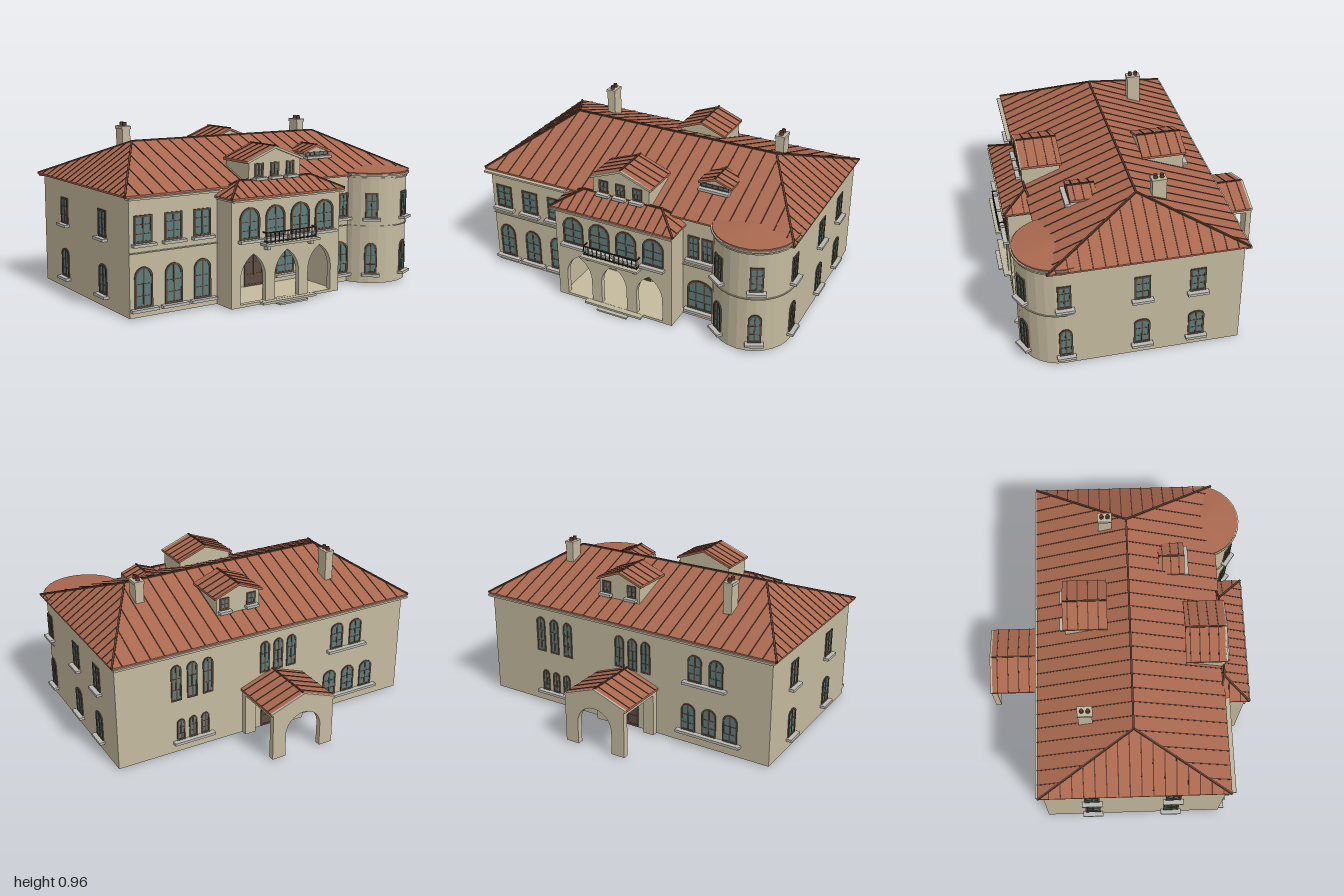
import * as THREE from 'three';

const mat = (name, color) => {
  const m = new THREE.MeshStandardMaterial({ color });
  m.name = name;
  return m;
};
const wall = mat('stucco', 0xc4ba9e), roofM = mat('roof tile', 0xa9684f), seamM = mat('roof seam', 0x5a3a2d);
const frameM = mat('window frame', 0x5a493b), glass = mat('glass', 0x5e7c7b), sillM = mat('sill stone', 0xb8b7b1);
const trim = mat('trim', 0xbdb7a0), doorM = mat('door wood', 0x5e4e42), iron = mat('iron', 0x2e2a26);

const V = (x, y, z) => new THREE.Vector3(x, y, z);

function add(parent, name, geo, m) {
  const mesh = new THREE.Mesh(geo, m);
  mesh.name = name;
  parent.add(mesh);
  return mesh;
}
function group(parent, name) {
  const g = new THREE.Group();
  g.name = name;
  parent.add(g);
  return g;
}
function box(parent, name, m, x0, x1, y0, y1, z0, z1) {
  add(parent, name, new THREE.BoxGeometry(x1 - x0, y1 - y0, z1 - z0), m)
    .position.set((x0 + x1) / 2, (y0 + y1) / 2, (z0 + z1) / 2);
}
// Square bar between two points
function bar(parent, name, m, a, b, w = 0.006) {
  const mesh = add(parent, name, new THREE.BoxGeometry(w, w, a.distanceTo(b)), m);
  const up = V(0, 1, 0), look = new THREE.Matrix4().lookAt(b, a, up);
  mesh.position.copy(a).lerp(b, 0.5);
  mesh.quaternion.setFromRotationMatrix(look);
}
function extrude(parent, name, m, shape, z0, z1) {
  const geo = new THREE.ExtrudeGeometry(shape, { depth: z1 - z0, bevelEnabled: false, curveSegments: 10 });
  add(parent, name, geo.translate(0, 0, z0), m);
}
// Walls raised from a plan given as [x, z] points, clockwise from above
function planWalls(parent, name, points, y0, y1) {
  const s = new THREE.Shape(points.map(([x, z]) => new THREE.Vector2(x, -z)));
  const geo = new THREE.ExtrudeGeometry(s, { depth: y1 - y0, bevelEnabled: false });
  add(parent, name, geo.rotateX(-Math.PI / 2).translate(0, y0, 0), wall);
}
// Opening outline: straight sides with an elliptical top of the given rise
function outline(Type, x, y, w, h, rise) {
  const s = new Type(), r = w / 2;
  s.moveTo(x - r, y).lineTo(x + r, y).lineTo(x + r, y + h - rise);
  if (rise > 0) s.absellipse(x, y + h - rise, r, rise, 0, Math.PI, false, 0);
  else s.lineTo(x - r, y + h);
  s.closePath();
  return s;
}
function pointedArch(x, y, w, spring, apex) {
  const p = new THREE.Path(), r = w / 2, my = spring + (apex - spring) * 0.65;
  p.moveTo(x - r, y).lineTo(x + r, y).lineTo(x + r, spring);
  p.quadraticCurveTo(x + r * 0.9, my, x, apex);
  p.quadraticCurveTo(x - r * 0.9, my, x - r, spring);
  p.closePath();
  return p;
}
// Window or door with its base at the given point, turned about y
function opening(parent, name, x, y, z, rot, w, h,
  { rise = 0, sill = true, door = false, uprights = 1, bars = 2, sillW = w + 0.03, t = 0.011 } = {}) {
  const g = group(parent, name);
  g.position.set(x, y, z);
  g.rotation.y = rot;
  const f = outline(THREE.Shape, 0, 0, w, h, rise);
  f.holes.push(outline(THREE.Path, 0, t, w - 2 * t, h - 2 * t, Math.max(0, rise - t / 2)));
  extrude(g, 'frame', frameM, f, -0.003, 0.006);
  extrude(g, door ? 'doorLeaf' : 'pane', door ? doorM : glass, outline(THREE.Shape, 0, t / 2, w - t, h - t, rise), -0.003, 0.002);
  for (let i = 1; i <= uprights; i++) {
    const bx = w * (i / (uprights + 1) - 0.5), drop = rise * (1 - Math.sqrt(1 - (2 * bx / w) ** 2));
    box(g, 'mullion', frameM, bx - 0.004, bx + 0.004, t / 2, h - t / 2 - drop, 0, 0.005);
  }
  for (let i = 1; i <= bars; i++) {
    const by = (h - rise * 0.5) * i / (bars + 1);
    box(g, 'glazingBar', frameM, -w / 2 + t, w / 2 - t, by - 0.002, by + 0.002, 0, 0.004);
  }
  if (sill) box(g, 'sill', sillM, -sillW / 2, sillW / 2, -0.016, 0, -0.004, 0.032);
}
// Hipped roof with standing seams
function hipRoof(parent, name, x0, x1, z0, z1, y0, r0, r1, rz, y1, stepX, stepZ) {
  const g = group(parent, name);
  const A = V(x0, y0, z1), B = V(x1, y0, z1), C = V(x1, y0, z0), D = V(x0, y0, z0), R = V(r1, y1, rz), L = V(r0, y1, rz);
  const geo = new THREE.BufferGeometry().setFromPoints([A, B, R, A, R, L, C, D, L, C, L, R, D, A, L, B, C, R]);
  geo.computeVertexNormals();
  add(g, 'slopes', geo, roofM);
  box(g, 'eaves', roofM, x0, x1, y0 - 0.01, y0, z0, z1);
  for (const [p, q] of [[A, L], [D, L], [B, R], [C, R], [L, R]]) bar(g, 'ridgeCap', seamM, p, q, 0.011);
  for (let x = x0 + stepX; x < x1 - 0.02; x += stepX) {
    const t = Math.min(1, (x - x0) / (r0 - x0), (x1 - x) / (x1 - r1));
    for (const z of [z0, z1])
      bar(g, 'seam', seamM, V(x, y0, z), V(x, y0 + t * (y1 - y0), z + t * (rz - z)));
  }
  for (let z = z0 + stepZ; z < z1 - 0.02; z += stepZ) {
    const t = Math.min((z - z0) / (rz - z0), (z1 - z) / (z1 - rz));
    for (const [x, r] of [[x0, r0], [x1, r1]])
      bar(g, 'seam', seamM, V(x, y0, z), V(x + t * (r - x), y0 + t * (y1 - y0), z));
  }
}
// Two-slope roof running along z, with seams and an optional pale rake at one end
function gableRoof(parent, x, hw, eave, ridge, z0, z1, step, rakeZ) {
  const g = group(parent, 'gableRoof'), s = new THREE.Shape(), t = 0.014;
  s.moveTo(x - hw, eave - t).lineTo(x, ridge - t).lineTo(x + hw, eave - t);
  s.lineTo(x + hw, eave).lineTo(x, ridge).lineTo(x - hw, eave).closePath();
  extrude(g, 'slopes', roofM, s, z0, z1);
  if (rakeZ !== undefined) extrude(g, 'rake', trim, s, rakeZ - 0.007, rakeZ + 0.007);
  for (let z = z0 + step / 2; z < z1; z += step)
    for (const e of [-1, 1]) bar(g, 'seam', seamM, V(x + e * hw, eave, z), V(x, ridge, z));
  bar(g, 'ridgeCap', seamM, V(x, ridge, z0), V(x, ridge, z1), 0.009);
}
function gableBody(parent, x, hw, y0, eave, ridge, z0, z1) {
  const s = new THREE.Shape();
  s.moveTo(x - hw, y0).lineTo(x + hw, y0).lineTo(x + hw, eave).lineTo(x, ridge).lineTo(x - hw, eave).closePath();
  extrude(parent, 'dormerWall', wall, s, z0, z1);
}

export function createModel() {
  const house = new THREE.Group();
  house.name = 'villa';
  const PI = Math.PI, loggiaZ = 0.42;

  // Main block: the lower storey is notched for the entrance loggia, the corner is cut for the tower
  const rim = [[0.725, 0.6], [0.955, 0.53], [0.955, -0.46], [-0.965, -0.46], [-0.965, 0.6]];
  planWalls(house, 'lowerWalls', [...rim, [-0.395, 0.6], [-0.395, loggiaZ], [0.29, loggiaZ], [0.29, 0.6]].reverse(), 0.006, 0.32);
  planWalls(house, 'upperWalls', [...rim].reverse(), 0.32, 0.646);
  hipRoof(house, 'mainRoof', -0.995, 0.975, -0.485, 0.62, 0.655, -0.655, 0.645, 0.07, 0.872, 0.083, 0.066);
  box(house, 'rearGutter', trim, -0.985, 0.968, 0.634, 0.646, -0.496, -0.46);
  box(house, 'frontCornice', trim, -0.985, -0.425, 0.634, 0.645, 0.6, 0.645);
  box(house, 'frontBelt', trim, -0.967, -0.425, 0.347, 0.353, 0.6, 0.61);
  box(house, 'frontBeltRight', trim, 0.32, 0.51, 0.347, 0.353, 0.6, 0.61);

  // Front facade windows
  for (const x of [-0.883, -0.7, -0.52]) {
    opening(house, 'upperFrontWindow', x, 0.4, 0.6, 0, 0.108, 0.148);
    opening(house, 'lowerFrontWindow', x, 0.055, 0.6, 0, 0.108, 0.22, { rise: 0.054, sillW: 0.16 });
  }
  for (const x of [0.385, 0.47]) opening(house, 'narrowFrontWindow', x, 0.4, 0.6, 0, 0.068, 0.145, { sillW: 0.085 });
  opening(house, 'wideFrontWindow', 0.43, 0.06, 0.6, 0, 0.16, 0.2, { rise: 0.06, uprights: 2 });

  // Side windows
  for (const [x, turn, zs] of [[0.955, PI / 2, [0.105, -0.205]], [-0.965, -PI / 2, [0.3, -0.18]]])
    for (const z of zs) {
      opening(house, 'upperSideWindow', x, 0.39, z, turn, 0.09, 0.152);
      opening(house, 'lowerSideWindow', x, 0.075, z, turn, 0.092, 0.168, { rise: 0.03 });
    }

  // Rear windows: rows of [centres, base, width, height, rise, sill]
  const rear = [
    [[0.39, 0.49, 0.59], 0.34, 0.064, 0.225, 0.032, false],
    [[-0.165, -0.075, 0.015], 0.37, 0.064, 0.2, 0.032, false],
    [[-0.49, -0.625], 0.4, 0.088, 0.165, 0.035, true],
    [[0.41, 0.488, 0.566], 0.08, 0.052, 0.135, 0.026, true],
    [[-0.45, -0.585, -0.72], 0.085, 0.092, 0.17, 0.04, true],
  ];
  for (const [xs, y, w, h, rise, sill] of rear) {
    for (const x of xs) opening(house, 'rearWindow', x, y, -0.46, PI, w, h, { rise, sill: false, t: 0.009 });
    if (sill) box(house, 'rearSill', sillM, Math.min(...xs) - w / 2 - 0.025, Math.max(...xs) + w / 2 + 0.025, y - 0.016, y, -0.493, -0.458);
  }

  // Round corner tower
  const tower = group(house, 'tower');
  tower.position.set(0.725, 0, 0.53);
  const drum = (name, m, r0, r1, y0, y1) => {
    const geo = new THREE.CylinderGeometry(r1, r0, y1 - y0, 28).toNonIndexed();
    geo.computeVertexNormals();
    add(tower, name, geo, m).position.y = (y0 + y1) / 2;
  };
  drum('towerWall', wall, 0.231, 0.231, 0.006, 0.65);
  drum('towerBelt', trim, 0.237, 0.237, 0.347, 0.353);
  drum('towerCornice', trim, 0.237, 0.237, 0.632, 0.64);
  drum('towerGutter', trim, 0.248, 0.248, 0.65, 0.66);
  drum('towerEave', roofM, 0.24, 0.24, 0.66, 0.668);
  drum('towerRoof', roofM, 0.24, 0.001, 0.668, 0.692);
  for (const a of [-0.62, 0.43, PI / 2]) {
    const x = 0.23 * Math.sin(a), z = 0.23 * Math.cos(a);
    opening(tower, 'upperTowerWindow', x, 0.4, z, a, 0.075, 0.15);
    opening(tower, 'lowerTowerWindow', x, 0.065, z, a, 0.075, 0.185, { rise: 0.045 });
  }

  // Central bay: arcade below, arched windows above
  const bay = group(house, 'entranceBay');
  const arcade = new THREE.Shape();
  arcade.moveTo(-0.425, 0.006).lineTo(0.32, 0.006).lineTo(0.32, 0.32).lineTo(-0.425, 0.32).closePath();
  for (const x of [-0.282, -0.052, 0.178]) arcade.holes.push(pointedArch(x, 0.022, 0.165, 0.17, 0.295));
  extrude(bay, 'arcade', wall, arcade, 0.712, 0.742);
  for (const x of [-0.425, 0.29]) box(bay, 'arcadeSide', wall, x, x + 0.03, 0.006, 0.32, 0.59, 0.712);
  box(bay, 'upperBay', wall, -0.425, 0.32, 0.32, 0.6, 0.59, 0.742);
  box(bay, 'loggiaFloor', wall, -0.395, 0.29, 0.006, 0.02, loggiaZ, 0.712);
  box(bay, 'lowerStep', sillM, -0.14, 0.055, 0, 0.01, 0.74, 0.8);
  box(bay, 'upperStep', trim, -0.235, 0.135, 0.008, 0.021, 0.74, 0.775);
  for (const x of [-0.282, 0.178]) opening(bay, 'loggiaWindow', x, 0.065, loggiaZ, 0, 0.135, 0.18, { rise: 0.06 });
  opening(bay, 'frontDoor', -0.052, 0.02, loggiaZ, 0, 0.135, 0.24, { rise: 0.06, sill: false, door: true });
  for (const x of [-0.308, -0.137, 0.035, 0.206])
    opening(bay, 'bayWindow', x, 0.378, 0.742, 0, 0.132, 0.175, { rise: 0.064, sillW: 0.15 });
  hipRoof(bay, 'bayRoof', -0.44, 0.338, 0.58, 0.765, 0.61, -0.3, 0.2, 0.62, 0.682, 0.055, 0.066);
  box(bay, 'bayCornice', trim, -0.432, 0.33, 0.59, 0.6, 0.6, 0.772);

  // Balcony with iron railing
  const balcony = group(bay, 'balcony');
  box(balcony, 'slab', trim, -0.235, 0.135, 0.337, 0.35, 0.74, 0.803);
  for (const x of [-0.2, 0.1]) box(balcony, 'bracket', trim, x - 0.01, x + 0.01, 0.312, 0.337, 0.74, 0.775);
  for (const y of [0.358, 0.409]) {
    bar(balcony, 'frontRail', iron, V(-0.22, y, 0.78), V(0.12, y, 0.78));
    for (const x of [-0.22, 0.12]) bar(balcony, 'sideRail', iron, V(x, y, 0.742), V(x, y, 0.78));
  }
  for (let i = 0; i <= 12; i++) {
    const x = -0.22 + i * 0.34 / 12;
    box(balcony, 'baluster', iron, x - 0.0018, x + 0.0018, 0.35, 0.409, 0.778, 0.782);
  }

  // Dormers
  const front = group(house, 'frontDormer');
  gableBody(front, -0.055, 0.178, 0.64, 0.778, 0.85, 0.4, 0.625);
  gableRoof(front, -0.055, 0.192, 0.785, 0.859, 0.39, 0.628, 0.055, 0.628);
  for (const x of [-0.165, -0.058, 0.05]) opening(front, 'dormerWindow', x, 0.693, 0.625, 0, 0.058, 0.077, { bars: 1, sillW: 0.08 });
  const small = group(house, 'smallDormer');
  gableBody(small, 0.42, 0.092, 0.7, 0.774, 0.808, 0.27, 0.406);
  gableRoof(small, 0.42, 0.103, 0.781, 0.819, 0.255, 0.412, 0.05);
  opening(small, 'dormerWindow', 0.42, 0.753, 0.406, 0, 0.17, 0.024, { uprights: 4, bars: 0, t: 0.005, sillW: 0.185 });
  const back = group(house, 'rearDormer');
  gableBody(back, 0.11, 0.14, 0.68, 0.828, 0.888, -0.31, -0.07);
  gableRoof(back, 0.11, 0.156, 0.838, 0.899, -0.322, -0.06, 0.06);
  for (const x of [0.025, 0.2]) opening(back, 'dormerWindow', x, 0.75, -0.31, PI, 0.06, 0.075, { bars: 1, sillW: 0.08 });

  // Chimneys with two clay pots each
  for (const [x, z] of [[-0.567, -0.2], [0.627, -0.06]]) {
    const c = group(house, 'chimney');
    box(c, 'stack', wall, x - 0.026, x + 0.026, 0.72, 0.93, z - 0.04, z + 0.04);
    box(c, 'cap', trim, x - 0.03, x + 0.03, 0.918, 0.936, z - 0.043, z + 0.043);
    for (const d of [-0.018, 0.018])
      add(c, 'pot', new THREE.CylinderGeometry(0.011, 0.013, 0.024, 10), seamM).position.set(x, 0.946, z + d);
  }

  // Rear carriage porch
  const porch = group(house, 'rearPorch'), cx = -0.038, hw = 0.2;
  const gate = new THREE.Shape();
  gate.moveTo(cx - hw, 0.006).lineTo(cx - 0.115, 0.006).lineTo(cx - 0.115, 0.145);
  gate.absarc(cx, 0.145, 0.115, PI, 0, true);
  gate.lineTo(cx + 0.115, 0.006).lineTo(cx + hw, 0.006).lineTo(cx + hw, 0.3).lineTo(cx, 0.375).lineTo(cx - hw, 0.3).closePath();
  extrude(porch, 'gateWall', wall, gate, -0.8, -0.765);
  for (const e of [-1, 1]) {
    const px = cx + e * 0.165;
    box(porch, 'pilaster', wall, px - 0.035, px + 0.035, 0.006, 0.27, -0.495, -0.455);
    box(porch, 'sideBeam', wall, px - 0.035, px + 0.035, 0.265, 0.3, -0.77, -0.455);
  }
  gableRoof(porch, cx, 0.212, 0.303, 0.381, -0.79, -0.455, 0.066, -0.795);
  opening(porch, 'rearDoor', cx, 0.01, -0.46, PI, 0.15, 0.24, { rise: 0.07, sill: false, door: true });
  return house;
}
